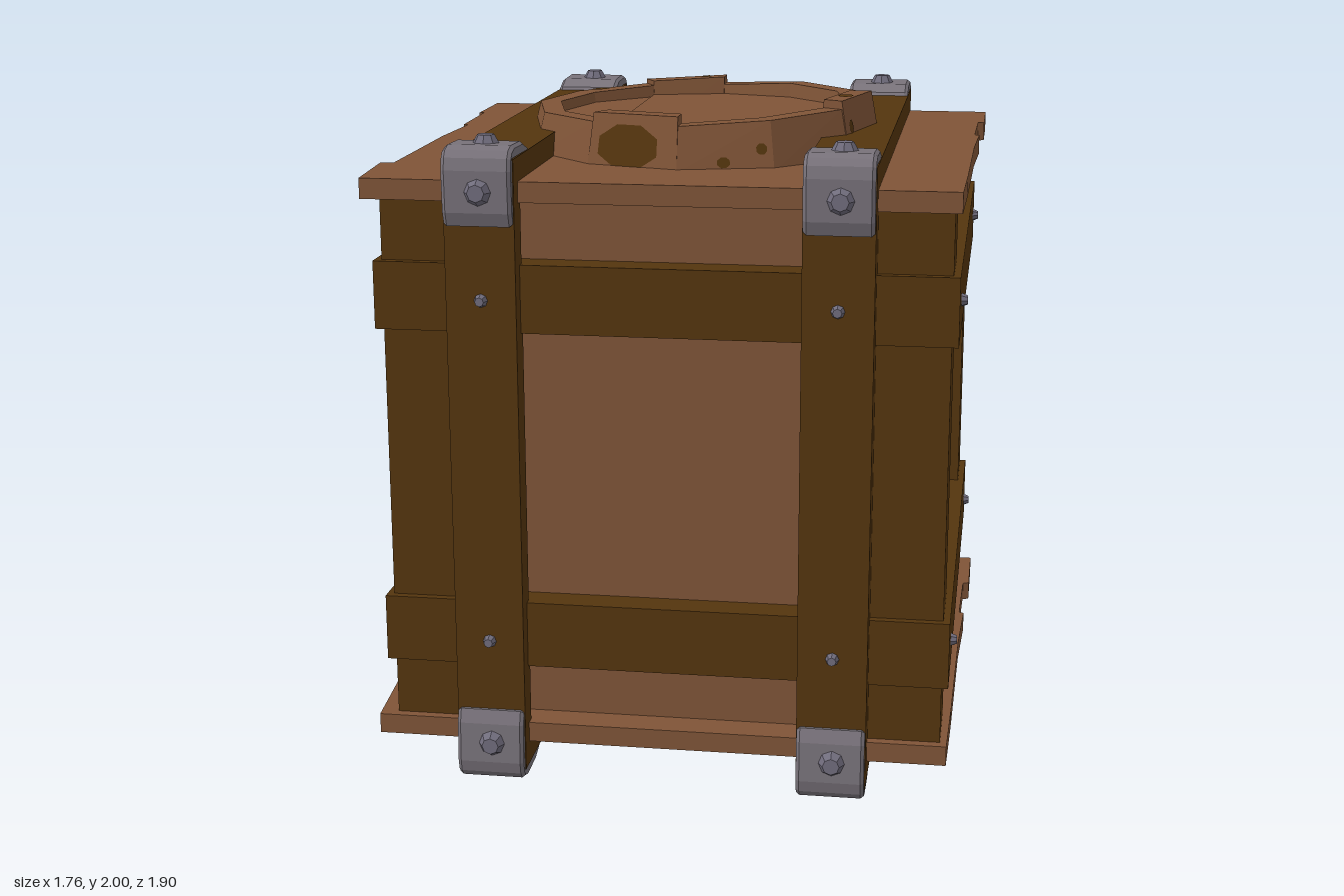
import * as THREE from 'three';
import { ConvexGeometry } from 'three/addons/geometries/ConvexGeometry.js';

const mat = (name, color, side = THREE.FrontSide) => {
  const m = new THREE.MeshStandardMaterial({ color, side });
  m.name = name;
  return m;
};

export function createModel() {
  const wood = mat('lightWood', 0x7f5437);
  const dark = mat('darkWood', 0x54350e);
  const stain = mat('darkStain', 0x54350e, THREE.DoubleSide);
  const iron = mat('iron', 0x78727a);
  const steel = mat('rivetSteel', 0x706c7c);

  const model = new THREE.Group();
  model.name = 'crate';
  const add = (parent, name, geo, material) => {
    const m = new THREE.Mesh(geo, material);
    m.name = name;
    parent.add(m);
    return m;
  };
  const box = (name, material, x0, x1, y0, y1, z0, z1) => {
    const g = new THREE.BoxGeometry(x1 - x0, y1 - y0, z1 - z0);
    g.translate((x0 + x1) / 2, (y0 + y1) / 2, (z0 + z1) / 2);
    return add(model, name, g, material);
  };
  // Bevelled bolt head standing on a surface, pointing along dir
  const up = new THREE.Vector3(0, 1, 0);
  const bolt = (name, r, h, pos, dir) => {
    const g = new THREE.CylinderGeometry(r * 0.62, r, h, 8).toNonIndexed();
    g.computeVertexNormals();
    const m = add(model, name, g, steel);
    m.position.set(...pos).addScaledVector(new THREE.Vector3(...dir), h / 2);
    m.quaternion.setFromUnitVectors(up, new THREE.Vector3(...dir));
  };

  // Core panels and corner posts
  box('panels', wood, -0.74, 0.76, 0.16, 1.8, -0.74, 0.75);
  for (const [x0, x1] of [[-0.81, -0.59], [0.61, 0.83]])
    for (const [z0, z1] of [[-0.81, -0.58], [0.59, 0.82]])
      box('cornerPost', dark, x0, x1, 0.17, 1.79, z0, z1);

  // Horizontal bands wrapping all four sides
  for (const [y0, y1] of [[0.37, 0.57], [1.39, 1.59]]) {
    box('frontBand', dark, -0.83, 0.85, y0, y1, 0.74, 0.845);
    box('backBand', dark, -0.83, 0.85, y0, y1, -0.83, -0.73);
    box('rightBand', dark, -0.83, -0.73, y0, y1, -0.73, 0.74);
    box('leftBand', dark, 0.75, 0.85, y0, y1, -0.73, 0.74);
  }

  // Top and bottom boards with uneven plank ends
  const outline = [
    [-0.86, 0.85], [-0.88, 0.56], [-0.84, 0.56], [-0.84, 0], [-0.825, -0.28], [-0.84, -0.28],
    [-0.845, -0.58], [-0.86, -0.58], [-0.86, -0.85], [0.88, -0.85], [0.88, -0.58], [0.86, -0.57],
    [0.855, -0.28], [0.87, -0.27], [0.86, 0], [0.855, 0.56], [0.85, 0.85],
  ];
  const board = new THREE.Shape(outline.map(([x, z]) => new THREE.Vector2(x, -z)));
  const boardGeo = new THREE.ExtrudeGeometry(board, { depth: 0.06, bevelEnabled: false });
  boardGeo.rotateX(-Math.PI / 2);
  add(model, 'bottomBoard', boardGeo, wood).position.y = 0.13;
  add(model, 'topBoard', boardGeo, wood).position.y = 1.77;
  const plug = new THREE.CylinderGeometry(0.45, 0.45, 0.01, 12).translate(0, 0.13, 0);
  add(model, 'bottomDisc', plug, wood);

  // Iron corner cap: an L-shaped profile (z, y) swept across the strap
  const capShape = new THREE.Shape([
    [0.69, 1.895], [0.895, 1.895], [0.895, 1.71], [0.91, 1.71], [0.925, 1.75], [0.93, 1.87],
    [0.922, 1.905], [0.905, 1.925], [0.87, 1.935], [0.76, 1.932], [0.7, 1.91],
  ].map(([z, y]) => new THREE.Vector2(z, y - 0.98)));
  const capGeo = new THREE.ExtrudeGeometry(capShape, {
    depth: 0.18, bevelEnabled: true, bevelSegments: 1, bevelSize: 0.008, bevelThickness: 0.01, bevelOffset: -0.008,
  });
  capGeo.translate(0, 0, -0.09);
  capGeo.rotateY(-Math.PI / 2); // shape x now runs along +z
  // Turn the cap about the strap axis so front/back and top/bottom stay correctly wound
  const capAt = (x, sz, sy) => {
    const g = capGeo.clone();
    const p = g.attributes.position;
    for (let i = 0; i < p.count; i++) p.setXYZ(i, p.getX(i), p.getY(i) * sy, p.getZ(i) * sz);
    if (sz * sy < 0) {
      for (let i = 0; i < p.count; i += 3) {
        const a = new THREE.Vector3().fromBufferAttribute(p, i + 1);
        const b = new THREE.Vector3().fromBufferAttribute(p, i + 2);
        p.setXYZ(i + 1, b.x, b.y, b.z);
        p.setXYZ(i + 2, a.x, a.y, a.z);
      }
    }
    g.computeVertexNormals();
    add(model, 'cornerCap', g, iron).position.set(x, 0.98, 0);
  };

  // Two straps around the crate, with caps, bolts and rivets
  for (const x of [-0.5, 0.515]) {
    const a = x - 0.102, b = x + 0.102;
    box('topStrap', dark, a, b, 1.82, 1.9, -0.893, 0.9);
    box('bottomStrap', dark, a, b, 0.06, 0.14, -0.893, 0.9);
    box('frontStrap', dark, a, b, 0.14, 1.82, 0.82, 0.9);
    box('backStrap', dark, a, b, 0.14, 1.82, -0.893, -0.82);
    for (const s of [1, -1]) {
      for (const t of [1, -1]) {
        capAt(x, s, t);
        bolt('capBolt', 0.04, 0.027, [x + 0.005, 0.98 + t * 0.83, s * 0.925], [0, 0, s]);
        bolt('capBolt', 0.04, 0.027, [x + 0.005, 0.98 + t * 0.95, s * 0.81], [0, t, 0]);
      }
      for (const y of [0.465, 1.495]) bolt('strapRivet', 0.021, 0.025, [x, y, s * 0.897], [0, 0, s]);
    }
  }
  for (const z of [-0.69, 0.69])
    for (const y of [0.465, 1.495]) {
      bolt('bandRivet', 0.021, 0.02, [0.848, y, z], [1, 0, 0]);
      bolt('bandRivet', 0.021, 0.02, [-0.828, y, z], [-1, 0, 0]);
    }

  // Twelve-sided hatch rim; each piece has its own start and end height
  const heights = [
    [2, 2], [1.975, 1.965], [1.965, 1.952], [1.98, 1.98], [1.952, 1.95], [1.95, 1.95],
    [1.95, 1.95], [1.95, 1.955], [1.97, 1.98], [1.955, 1.97], [1.97, 1.968], [1.968, 1.95],
  ];
  const ringPoint = (k, r, y) => {
    const a = (k * Math.PI) / 6;
    return new THREE.Vector3(0.012 + 0.967 * r * Math.cos(a), y, r * Math.sin(a));
  };
  const hatch = new THREE.Group();
  hatch.name = 'hatch';
  model.add(hatch);
  heights.forEach((h, k) => {
    const pts = [];
    h.forEach((y, i) => pts.push(
      ringPoint(k + i, 0.577, 1.82), ringPoint(k + i, 0.543, y),
      ringPoint(k + i, 0.475, y), ringPoint(k + i, 0.455, 1.82)));
    add(hatch, 'hatchRim', new ConvexGeometry(pts), wood);
  });

  // Hatch lid in two boards meeting at a seam
  const lidBoard = (name, ks, seamX, y) => {
    const pts = [];
    for (const yy of [1.82, y]) {
      for (const k of ks) pts.push(ringPoint(k, 0.47, yy));
      for (const s of [1, -1]) pts.push(new THREE.Vector3(seamX, yy, s * 0.42));
    }
    add(hatch, name, new ConvexGeometry(pts), wood);
  };
  lidBoard('largeLidBoard', [-3, -2, -1, 0, 1, 2, 3], -0.217, 1.925);
  lidBoard('smallLidBoard', [4, 5, 6, 7, 8], -0.225, 1.918);

  // Worn stains: thin seven-sided faces; v runs 0-1 up the wall, 1-2 across the rim top
  const stainAt = (k, u, v, du, dv) => {
    const [h0, h1] = heights[k];
    const at = (uu, vv) => {
      const t = Math.min(vv, 1);
      const r = vv <= 1 ? 0.58 - 0.034 * t : 0.543 - 0.068 * (vv - 1);
      const lift = v > 1 ? 0.003 : 0;
      const p = ringPoint(k, r, 1.82 + (h0 - 1.82) * t + lift);
      return p.lerp(ringPoint(k + 1, r, 1.82 + (h1 - 1.82) * t + lift), uu);
    };
    const pts = [at(u, v)];
    for (let i = 0; i < 8; i++) {
      const a = ((i + 0.5) * Math.PI) / 4;
      pts.push(at(u + du * Math.cos(a), v + dv * Math.sin(a)));
    }
    const g = new THREE.BufferGeometry().setFromPoints(pts);
    const idx = [];
    for (let i = 0; i < 8; i++) idx.push(0, 1 + ((i + 1) % 8), 1 + i);
    g.setIndex(idx);
    g.computeVertexNormals();
    add(hatch, 'wornStain', g, stain);
  };
  stainAt(3, 0.56, 0.42, 0.36, 0.42);
  stainAt(2, 0.52, 0.2, 0.07, 0.12);
  stainAt(2, 0.12, 0.45, 0.06, 0.12);
  stainAt(8, 0.52, 0.6, 0.33, 0.38);
  stainAt(8, 0.75, 1.6, 0.08, 0.36);
  stainAt(7, 0.3, 0.6, 0.22, 0.36);
  stainAt(7, 0.25, 1.35, 0.14, 0.3);
  stainAt(0, 0.62, 1.4, 0.12, 0.38);
  stainAt(0, 0.83, 0.55, 0.06, 0.12);
  stainAt(11, 0.2, 0.85, 0.06, 0.1);
  stainAt(9, 0.85, 0.85, 0.08, 0.13);

  return model;
}
